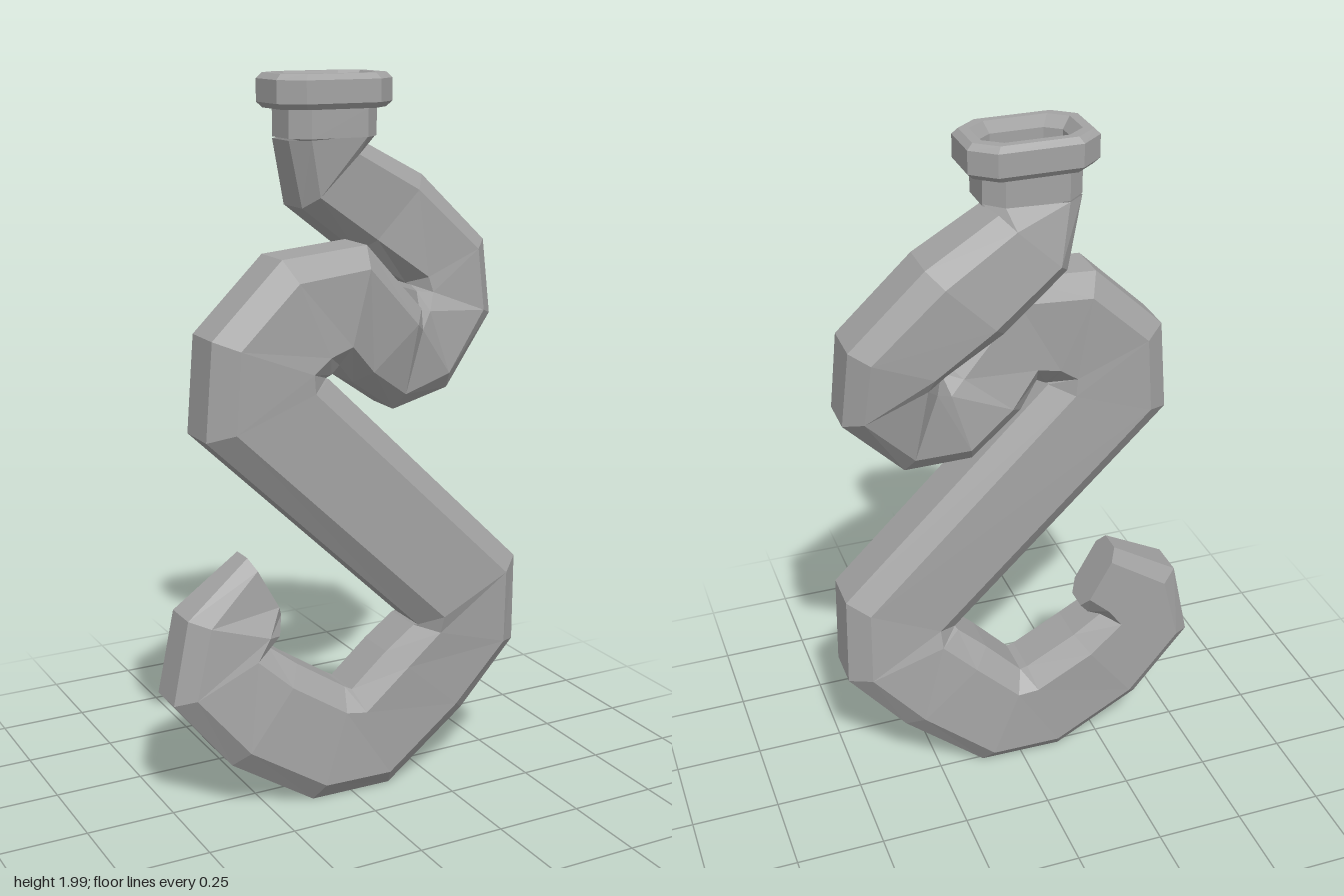
import * as THREE from 'three';

// Flattened octagon section: u runs across the pipe, v runs along z
const OCT = [[1, -0.55], [1, 0.55], [0.64, 1], [-0.64, 1], [-1, 0.55], [-1, -0.55], [-0.64, -1], [0.64, -1]];

// Section between a right point and a left point, at depth z with half thickness h
function section([rx, ry, lx, ly, z, h = 0.11]) {
  const cx = (rx + lx) / 2, cy = (ry + ly) / 2;
  const ux = (rx - lx) / 2, uy = (ry - ly) / 2;
  return OCT.map(([u, v]) => new THREE.Vector3(cx + ux * u, cy + uy * u, z + h * v));
}

// Skin consecutive sections with flat faces, optionally closing either end
function loft(rings, capStart, capEnd) {
  const pos = [];
  const tri = (...pts) => pts.forEach((p) => pos.push(p.x, p.y, p.z));
  const n = OCT.length;
  for (let i = 0; i < rings.length - 1; i++) {
    for (let j = 0; j < n; j++) {
      const k = (j + 1) % n;
      const a = rings[i][j], b = rings[i][k], c = rings[i + 1][k], d = rings[i + 1][j];
      tri(a, d, b);
      tri(b, d, c);
    }
  }
  const first = rings[0], last = rings[rings.length - 1];
  for (let j = 1; j < n - 1; j++) {
    if (capStart) tri(first[0], first[j], first[j + 1]);
    if (capEnd) tri(last[0], last[j + 1], last[j]);
  }
  const geometry = new THREE.BufferGeometry();
  geometry.setAttribute('position', new THREE.Float32BufferAttribute(pos, 3));
  geometry.computeVertexNormals();
  return geometry;
}

export function createModel() {
  const group = new THREE.Group();
  group.name = 'windingPipe';
  const metal = new THREE.MeshStandardMaterial({ color: 0xa3a3a3 });
  metal.name = 'grey metal';
  metal.side = THREE.DoubleSide;

  const add = (name, geometry) => {
    const mesh = new THREE.Mesh(geometry, metal);
    mesh.name = name;
    group.add(mesh);
  };

  // Each row: right x, right y, left x, left y, z, half thickness
  const lowerHook = [
    [-0.27, 0.72, -0.17, 0.54, -0.02, 0.06],
    [-0.47, 0.59, -0.2, 0.5, 0.015, 0.095],
    [-0.52, 0.36, -0.24, 0.48, 0.02, 0.1],
    [-0.36, 0.16, -0.16, 0.42, 0.03],
    [-0.12, 0.01, -0.02, 0.33, 0.045],
    [0.12, 0.01, 0, 0.32, 0.05],
    [0.35, 0.2, 0.1, 0.42, 0.065],
    [0.51, 0.39, 0.18, 0.49, 0.08],
    [0.5, 0.65, 0.185, 0.495, 0.095],
  ];
  const upperLoop = [
    [0.5, 0.65, 0.185, 0.495, 0.095],
    [-0.1, 1.23, -0.45, 1.1, 0.105],
    [-0.11, 1.235, -0.43, 1.36, 0.107],
    [-0.09, 1.24, -0.23, 1.55, 0.1],
    [-0.06, 1.26, 0.02, 1.57, 0.088],
    [0, 1.2, 0.21, 1.38, 0.05],
    [0.15, 1.1, 0.23, 1.37, 0.01, 0.1],
  ];
  const upperHook = [
    [0.15, 1.1, 0.23, 1.37, 0.01, 0.1],
    [0.35, 1.13, 0.25, 1.41, -0.04, 0.1],
    [0.52, 1.32, 0.26, 1.42, -0.09, 0.1],
    [0.5, 1.53, 0.25, 1.425, -0.105],
    [0.3, 1.72, 0.1, 1.52, -0.11],
    [0.1, 1.82, -0.08, 1.65, -0.08, 0.1],
    [0.13, 1.84, -0.13, 1.83, -0.05, 0.09],
  ];
  add('lowerHook', loft(lowerHook.map(section), true, false));
  add('diagonalAndLoop', loft(upperLoop.map(section), false, false));
  add('upperHook', loft(upperHook.map(section), false, false));

  // Neck and bevelled rim, hollow inside: half width, half depth, height
  const mouth = [
    [0.13, 0.09, 1.835], [0.13, 0.09, 1.91], [0.155, 0.1, 1.91], [0.17, 0.112, 1.925],
    [0.17, 0.112, 1.985], [0.155, 0.1, 2], [0.13, 0.08, 2], [0.11, 0.068, 1.97], [0.11, 0.068, 1.84],
  ];
  add('neckAndRim', loft(mouth.map(([w, d, y]) => section([w, y, -w, y, -0.05, d])), false, true));
  return group;
}
